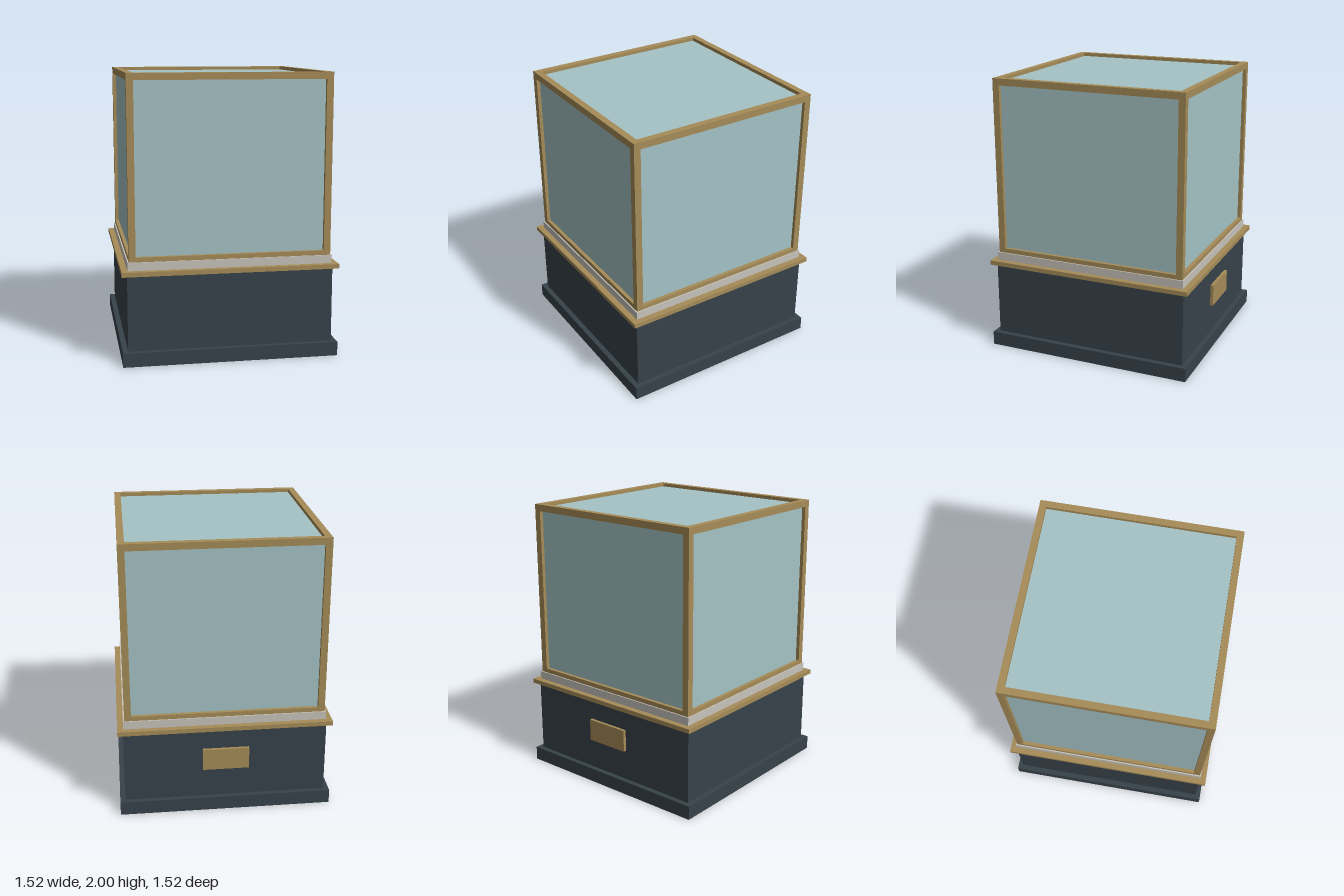
import * as THREE from 'three';

const material = (name, color) => {
  const m = new THREE.MeshStandardMaterial({ color });
  m.name = name;
  return m;
};

export function createModel() {
  const model = new THREE.Group();
  model.name = 'displayCase';
  const paint = material('dark slate paint', 0x37424a);
  const brass = material('brass', 0xa68c58);
  const stone = material('pale stone', 0xc8c4bc);
  const glass = material('pale blue glass', 0xa5c3c6);

  const box = (name, mat, w, h, d, x, y, z, parent = model) => {
    const mesh = new THREE.Mesh(new THREE.BoxGeometry(w, h, d), mat);
    mesh.name = name;
    mesh.position.set(x, y, z);
    parent.add(mesh);
    return mesh;
  };
  // Square slab centred on the axis, from height y0 to y1
  const slab = (name, mat, half, y0, y1) =>
    box(name, mat, half * 2, y1 - y0, half * 2, 0, (y0 + y1) / 2, 0);

  // Pedestal
  slab('plinth', paint, 0.76, 0, 0.1);
  slab('pedestalBody', paint, 0.722, 0.1, 0.635);
  slab('brassTrim', brass, 0.76, 0.635, 0.667);
  slab('displayDeck', stone, 0.717, 0.667, 0.725);

  // Blank plate held just off the back
  box('backPlate', brass, 0.33, 0.16, 0.022, 0, 0.41, -0.746);

  // Glass enclosure, recessed behind the frame
  slab('glassBox', glass, 0.682, 0.725, 1.975);

  // Frame: four posts, with rails between them at top and bottom
  const frame = new THREE.Group();
  frame.name = 'brassFrame';
  model.add(frame);
  const outer = 0.708, bar = 0.048, mid = outer - bar / 2;
  const bottom = 0.725, top = 2, span = (outer - bar) * 2;
  for (const sx of [-1, 1]) {
    for (const sz of [-1, 1]) {
      box('cornerPost', brass, bar, top - bottom, bar,
        sx * mid, (top + bottom) / 2, sz * mid, frame);
    }
  }
  const rails = [['bottomRail', bottom, 0.757], ['topRail', top - bar, top]];
  for (const [name, y0, y1] of rails) {
    for (const s of [-1, 1]) {
      box(name, brass, span, y1 - y0, bar, 0, (y0 + y1) / 2, s * mid, frame);
      box(name, brass, bar, y1 - y0, span, s * mid, (y0 + y1) / 2, 0, frame);
    }
  }
  return model;
}
